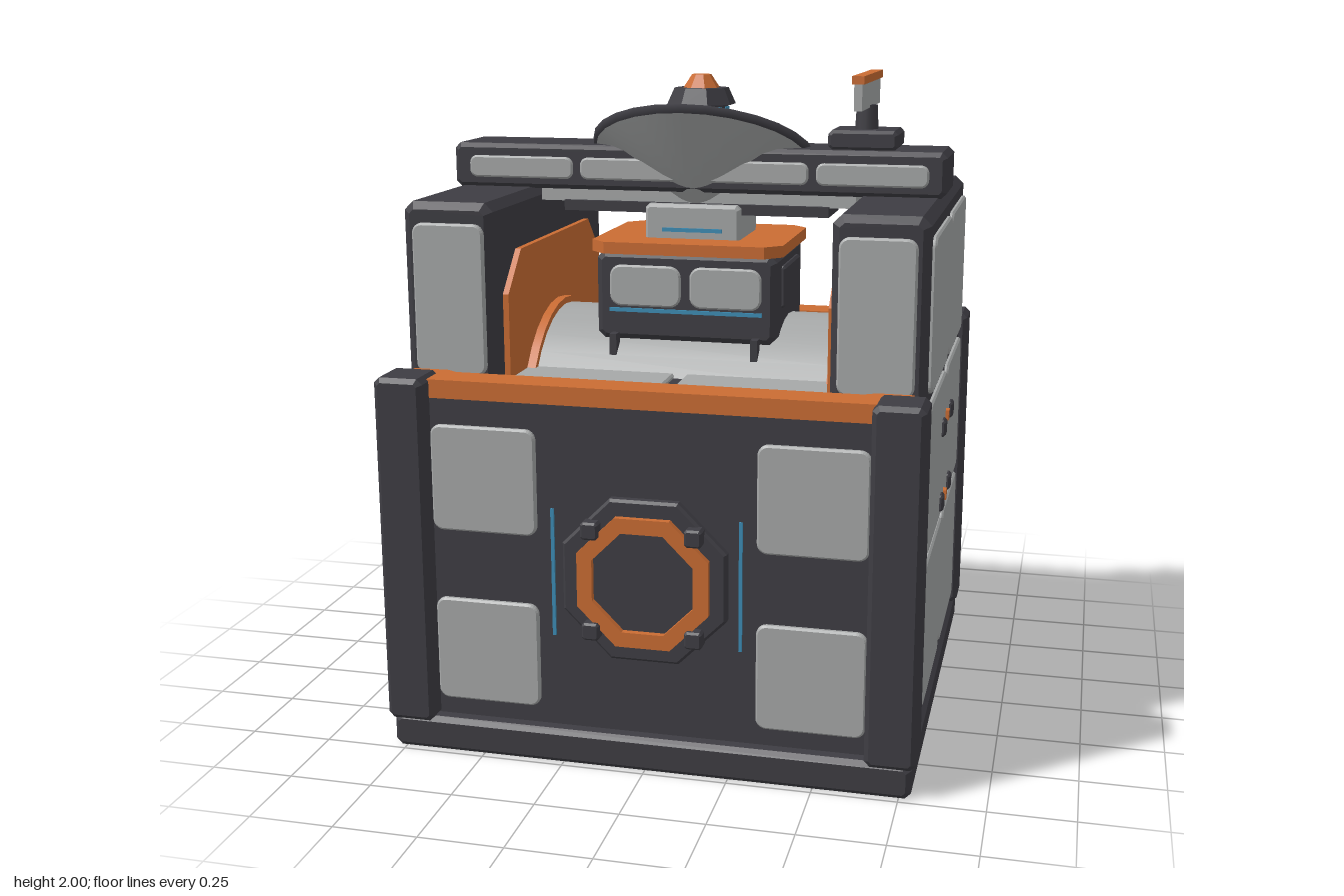
import * as THREE from 'three';

const mat = (name, color) => Object.assign(new THREE.MeshStandardMaterial({ color }), { name });

// Rectangle with cut corners
function cutRect(w, h, c) {
  const a = w / 2, b = h / 2;
  return new THREE.Shape([[-a + c, -b], [a - c, -b], [a, -b + c], [a, b - c], [a - c, b], [-a + c, b], [-a, b - c], [-a, -b + c]]
    .map(p => new THREE.Vector2(...p)));
}

// Rectangle with round corners
function roundRect(w, h, r) {
  const a = w / 2, b = h / 2, s = new THREE.Shape();
  s.absarc(a - r, b - r, r, 0, Math.PI / 2);
  s.absarc(-a + r, b - r, r, Math.PI / 2, Math.PI);
  s.absarc(-a + r, -b + r, r, Math.PI, Math.PI * 1.5);
  s.absarc(a - r, -b + r, r, Math.PI * 1.5, Math.PI * 2);
  return s;
}

// Octagon with flat top, sized by half its width
function octagon(half) {
  const r = half / Math.cos(Math.PI / 8);
  return Array.from({ length: 8 }, (_, i) => {
    const t = (i + 0.5) * Math.PI / 4;
    return new THREE.Vector2(r * Math.cos(t), r * Math.sin(t));
  });
}

const extrude = (shape, depth, bevel = 0) => new THREE.ExtrudeGeometry(shape, {
  depth, curveSegments: 3, bevelEnabled: bevel > 0, bevelThickness: bevel, bevelSize: bevel, bevelSegments: 1,
});

// Box with chamfered edges, centred
const chamferBox = (w, h, d, c = 0.012) =>
  extrude(cutRect(w - 2 * c, h - 2 * c, c * 0.6), d - 2 * c, c).translate(0, 0, -d / 2 + c);

// Bevelled armour plate whose back lies on z = 0
const plate = (w, h, d = 0.012, r = 0.025) =>
  extrude(roundRect(w - 0.012, h - 0.012, r), d, 0.006);

const box = (w, h, d) => new THREE.BoxGeometry(w, h, d);

export function createModel() {
  const dark = mat('dark metal', 0x3e3d43);
  const grey = mat('grey plating', 0xa6a8a8);
  const orange = mat('orange trim', 0xca6c33);
  const blue = mat('blue light', 0x3d8db5);

  const model = new THREE.Group();
  model.name = 'building';
  const group = (name, x = 0, y = 0, z = 0, ry = 0) => {
    const g = new THREE.Group();
    g.name = name;
    g.position.set(x, y, z);
    g.rotation.y = ry;
    model.add(g);
    return g;
  };
  const add = (parent, name, geo, material, x = 0, y = 0, z = 0, rx = 0, ry = 0, rz = 0) => {
    const m = new THREE.Mesh(geo, material);
    m.name = name;
    m.position.set(x, y, z);
    m.rotation.set(rx, ry, rz);
    parent.add(m);
    return m;
  };
  const H = Math.PI / 2;

  // Foundation and corner posts
  add(model, 'base', chamferBox(1.57, 0.105, 1.49, 0.015), dark, 0, 0.0525, 0);
  for (const x of [-1, 1]) for (const z of [-1, 1])
    add(model, 'cornerPost', chamferBox(0.148, 1.06, 0.152, 0.014), dark, x * 0.724, 0.625, z * 0.685);

  // Inner body and deck plating
  add(model, 'deckBody', box(1.04, 0.99, 1.16), dark, 0, 0.595, 0);
  for (const x of [-1, 1]) for (const z of [-1, 1])
    add(model, 'deckPlate', plate(0.48, 0.44), grey, x * 0.258, 1.085, z * 0.335, -H);

  // Front and back walls with orange parapets
  for (const s of [1, -1]) {
    const wall = group(s > 0 ? 'frontWall' : 'backWall', 0, 0, 0, s > 0 ? 0 : Math.PI);
    add(wall, 'wall', box(1.36, 1.0, 0.12), dark, 0, 0.595, 0.638);
    const rail = new THREE.Shape([[-0.745, -0.70], [0.745, -0.70], [0.745, -0.57], [0.64, -0.57], [0.605, -0.592],
      [-0.605, -0.592], [-0.64, -0.57], [-0.745, -0.57]].map(p => new THREE.Vector2(...p)));
    add(wall, 'parapet', extrude(rail, 0.055), orange, 0, 1.09, 0, -H);
    const rows = s > 0 ? [[0.32, 0.32], [0.853, 0.32]] : [[0.375, 0.41], [0.81, 0.41]];
    for (const [y, h] of rows) for (const x of [-1, 1])
      add(wall, 'wallPlate', plate(s > 0 ? 0.32 : 0.61, h), grey, x * (s > 0 ? 0.487 : 0.325), y, 0.695);
  }

  // Octagonal hatch with side lights
  const hatch = group('hatch', 0, 0.585, 0.697);
  add(hatch, 'hatchBase', extrude(new THREE.Shape(octagon(0.236)), 0.022, 0.008), dark);
  const ring = new THREE.Shape(octagon(0.195));
  ring.holes.push(new THREE.Path(octagon(0.15)));
  add(hatch, 'hatchRing', extrude(ring, 0.02), orange, 0, 0, 0.03);
  for (const x of [-1, 1]) {
    for (const y of [-1, 1]) add(hatch, 'hatchBolt', chamferBox(0.052, 0.052, 0.05, 0.006), dark, x * 0.153, y * 0.153, 0.04);
    add(hatch, 'hatchLight', box(0.01, 0.39, 0.008), blue, x * 0.28, 0, 0.004);
  }

  // Side towers
  const arch = new THREE.Shape([[-0.465, 1.08], [0.465, 1.08], [0.465, 1.36], [0.345, 1.48], [-0.345, 1.48], [-0.465, 1.36]]
    .map(p => new THREE.Vector2(...p)));
  for (const s of [1, -1]) {
    const tower = group(s > 0 ? 'leftTower' : 'rightTower', 0, 0, 0, s > 0 ? 0 : Math.PI);
    add(tower, 'towerBody', chamferBox(0.275, 1.54, 1.1, 0.022), dark, 0.6375, 0.87, 0);
    for (const y of [0.4, 0.875, 1.355]) for (const z of [-1, 1])
      add(tower, 'sidePlate', plate(0.485, 0.45), grey, 0.77, y, z * 0.262, 0, H);
    for (const z of [-1, 1]) for (const y of [0.4, 0.875, 1.355])
      add(tower, 'endPlate', plate(0.22, 0.45), grey, 0.632, y, z * 0.547, 0, z > 0 ? 0 : Math.PI);
    add(tower, 'innerPanel', extrude(arch, 0.02), orange, 0.482, 0, 0, 0, H);
    add(tower, 'drumCollar', new THREE.CylinderGeometry(0.38, 0.38, 0.028, 32), orange, 0.469, 0.89, 0, 0, 0, H);
  }

  // Access port on the left side
  const port = group('sidePort', 0.785, 0.82, 0);
  for (const y of [-1, 1]) {
    for (const z of [-1, 1]) add(port, 'portBolt', chamferBox(0.03, 0.052, 0.052, 0.006), dark, 0, y * 0.12, z * 0.12);
    add(port, 'portTrim', box(0.024, 0.032, 0.034), orange, 0, y * 0.13, 0);
  }

  // Drum lying across the deck
  add(model, 'drum', new THREE.CylinderGeometry(0.36, 0.36, 0.93, 32), grey, 0, 0.89, 0, 0, 0, H);

  // Gantry beam
  const beam = group('gantry');
  add(beam, 'beam', chamferBox(1.55, 0.138, 0.245, 0.014), dark, 0, 1.706, 0);
  for (const s of [1, -1]) for (const x of [-0.553, -0.19, 0.19, 0.553])
    add(beam, 'beamPlate', plate(0.34, 0.068, 0.004, 0.018), grey, x, 1.703, s * 0.119, 0, s > 0 ? 0 : Math.PI);
  add(beam, 'beamSoffit', box(1.0, 0.05, 0.17), grey, 0, 1.622, 0);
  add(beam, 'trolleyRail', box(0.84, 0.032, 0.2), dark, 0, 1.585, 0);

  // Hanging cabin
  const cabin = group('cabin');
  add(cabin, 'hanger', chamferBox(0.3, 0.12, 0.26, 0.01), grey, 0, 1.54, 0);
  add(cabin, 'cabinRoof', extrude(cutRect(0.6, 0.5, 0.05), 0.036), orange, 0, 1.459, 0, -H);
  add(cabin, 'cabinBody', chamferBox(0.565, 0.275, 0.44, 0.018), dark, 0, 1.325, 0);
  for (const s of [1, -1]) {
    const face = new THREE.Group();
    face.name = 'cabinFace';
    face.rotation.y = s > 0 ? 0 : Math.PI;
    cabin.add(face);
    for (const x of [-1, 1]) {
      add(face, 'cabinWindow', plate(0.225, 0.128, 0.003, 0.03), grey, x * 0.126, 1.358, 0.218);
      add(face, 'cabinLeg', box(0.022, 0.13, 0.04), dark, x * 0.222, 1.145, 0.235);
    }
    add(face, 'cabinLight', box(0.48, 0.012, 0.008), blue, 0, 1.282, 0.222);
    add(face, 'hangerLight', box(0.19, 0.012, 0.008), blue, 0, 1.522, 0.131);
    add(face, 'cabinEar', chamferBox(0.02, 0.13, 0.26, 0.006), dark, 0.285, 1.355, 0);
  }

  // Tilted dish
  const dish = group('dish', 0, 1.75, -0.03);
  dish.rotation.x = -0.475;
  const v = (x, y) => new THREE.Vector2(x, y);
  add(dish, 'dishBowl', new THREE.LatheGeometry([v(0, -0.2), v(0.06, -0.175), v(0.345, -0.012), v(0.325, 0),
    v(0.2, -0.085), v(0.08, -0.145), v(0, -0.16)], 28), grey);
  add(dish, 'dishRim', new THREE.LatheGeometry([v(0.325, -0.016), v(0.346, -0.016), v(0.35, 0.008), v(0.325, 0.008),
    v(0.325, -0.016)], 28), dark);

  // Lookout turret
  const turret = group('turret');
  const oct = (top, bottom, h) => new THREE.CylinderGeometry(top, bottom, h, 8).rotateY(Math.PI / 8).toNonIndexed();
  const flat = g => { g.computeVertexNormals(); return g; };
  add(turret, 'turretBody', flat(oct(0.085, 0.085, 0.16)), dark, 0, 1.84, 0);
  add(turret, 'turretCap', flat(oct(0.085, 0.108, 0.05)), dark, 0, 1.925, 0);
  add(turret, 'turretDome', flat(oct(0.03, 0.06, 0.045)), orange, 0, 1.968, 0);
  for (let i = 0; i < 8; i++) {
    const t = i * Math.PI / 4;
    add(turret, 'turretWindow', box(0.045, 0.07, 0.008), blue, 0.079 * Math.sin(t), 1.858, 0.079 * Math.cos(t), 0, t);
  }
  add(turret, 'turretBeacon', chamferBox(0.035, 0.065, 0.03, 0.006), orange, 0, 1.85, -0.095);

  // Bar antenna
  const antenna = group('antenna', 0.517, 0, 0);
  add(antenna, 'antennaBase', chamferBox(0.212, 0.06, 0.175, 0.01), dark, 0, 1.803, 0);
  add(antenna, 'antennaPivot', new THREE.CylinderGeometry(0.032, 0.036, 0.08, 12), dark, 0, 1.865, 0);
  add(antenna, 'antennaBar', box(0.024, 0.08, 0.41), grey, 0, 1.938, 0);
  add(antenna, 'antennaTrim', box(0.036, 0.024, 0.425), orange, 0, 1.988, 0);

  // Centre the building on its footprint
  for (const part of model.children) part.position.z -= 0.006;
  return model;
}
